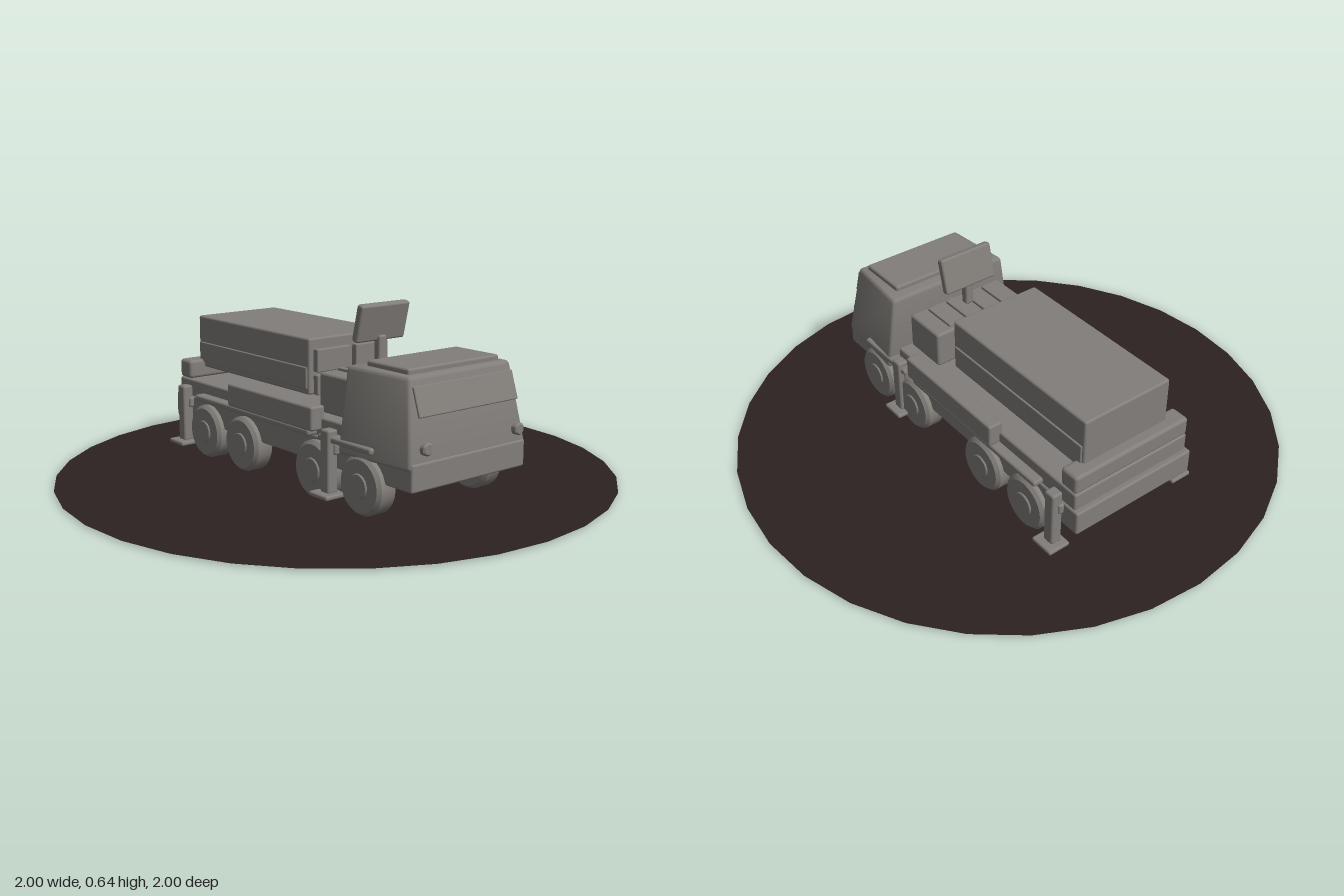
import * as THREE from 'three';
import { toCreasedNormals } from 'three/addons/utils/BufferGeometryUtils.js';
import { RoundedBoxGeometry } from 'three/addons/geometries/RoundedBoxGeometry.js';

export function createModel() {
  const truck = new THREE.Group();
  truck.name = 'launcherTruck';
  const grey = new THREE.MeshStandardMaterial({ color: 0x827e7a });
  grey.name = 'warm grey';
  const dark = new THREE.MeshStandardMaterial({ color: 0x2c2222, side: THREE.DoubleSide });
  dark.name = 'dark ground';

  const add = (name, geometry, material = grey) => {
    const mesh = new THREE.Mesh(geometry, material);
    mesh.name = name;
    truck.add(mesh);
    return mesh;
  };
  // Softly edged box given by its limits on each axis
  const box = (name, x0, x1, y0, y1, z0, z1, r = 0.008) => {
    const w = x1 - x0, h = y1 - y0, d = z1 - z0;
    const geo = new RoundedBoxGeometry(w, h, d, 2, Math.min(r, Math.min(w, h, d) * 0.4));
    const mesh = add(name, geo);
    mesh.position.set((x0 + x1) / 2, (y0 + y1) / 2, (z0 + z1) / 2);
    return mesh;
  };
  // The same box on both sides
  const pair = (name, x0, x1, y0, y1, z0, z1, r) => {
    box(name + 'Left', x0, x1, y0, y1, z0, z1, r);
    box(name + 'Right', x0, x1, y0, y1, -z1, -z0, r);
  };
  // Solid of revolution with rounded rims, lying along the x or z axis
  const drum = (name, axis, radius, length, x, y, z, bevel = 0.006, sides = 24) => {
    const h = length / 2;
    const profile = [[0, -h], [radius - bevel, -h], [radius, -h + bevel],
      [radius, h - bevel], [radius - bevel, h], [0, h]].map(p => new THREE.Vector2(...p));
    const geo = toCreasedNormals(new THREE.LatheGeometry(profile, sides), 0.6);
    if (axis === 'x') geo.rotateZ(-Math.PI / 2);
    else geo.rotateX(Math.PI / 2);
    const mesh = add(name, geo);
    mesh.position.set(x, y, z);
    return mesh;
  };

  // Ground disc
  const ground = add('groundDisc', new THREE.CircleGeometry(1, 32).rotateX(-Math.PI / 2), dark);
  ground.position.y = 0.005;

  // Chassis and deck
  box('chassis', -0.68, 0.675, 0.12, 0.212, -0.252, 0.252);
  box('deck', -0.66, 0.34, 0.205, 0.275, -0.245, 0.245);
  box('rearCrossBox', -0.66, -0.585, 0.275, 0.345, -0.245, 0.245, 0.012);
  pair('sideLocker', -0.27, 0.225, 0.232, 0.315, 0.23, 0.288);
  pair('rearFender', -0.5, 0.2, 0.212, 0.234, 0.235, 0.283);
  pair('frontFender', 0.25, 0.515, 0.212, 0.234, 0.235, 0.283);

  // Wheels with hubs on four axles
  for (const x of [-0.443, -0.205, 0.217, 0.457]) {
    for (const side of [-1, 1]) {
      drum('wheel', 'z', 0.1, 0.08, x, 0.1, side * 0.24, 0.012);
      drum('hub', 'z', 0.042, 0.012, x, 0.1, side * 0.28, 0.003, 20);
    }
  }

  // Outriggers
  for (const x of [-0.585, 0.297]) {
    pair('outriggerLeg', x - 0.022, x + 0.022, 0.04, 0.255, 0.25, 0.292);
    pair('outriggerFoot', x - 0.047, x + 0.047, 0.028, 0.044, 0.235, 0.32);
    pair('outriggerArm', x - 0.03, x + 0.03, 0.17, 0.21, 0.2, 0.27);
  }

  // Launch container with side ribs and front doors
  box('launchContainer', -0.62, 0.075, 0.315, 0.512, -0.18, 0.18);
  pair('containerRib', -0.61, 0.065, 0.335, 0.412, 0.175, 0.186, 0.004);
  for (const [y0, y1] of [[0.315, 0.385], [0.395, 0.475]]) {
    pair('containerDoor', 0.072, 0.098, y0, y1, 0.012, 0.16, 0.004);
  }

  // Generator with cooling bars and drums
  box('generator', 0.152, 0.325, 0.275, 0.412, -0.197, 0.197, 0.01);
  for (const z of [-0.12, -0.04, 0.04, 0.12]) {
    box('coolingBar', 0.17, 0.305, 0.405, 0.422, z - 0.011, z + 0.011, 0.004);
  }
  drum('generatorDrum', 'x', 0.046, 0.05, 0.132, 0.363, 0);
  drum('generatorPipe', 'x', 0.026, 0.04, 0.338, 0.365, 0);

  // Radar mast and tilted panel
  box('radarMast', 0.222, 0.254, 0.432, 0.53, -0.017, 0.017);
  const radar = box('radarPanel', 0.225, 0.255, 0.51, 0.642, -0.107, 0.107);
  radar.position.x = 0.241;
  radar.rotation.z = -0.24;

  // Cab: a box narrowed upward and toward the front
  const cabGeo = new RoundedBoxGeometry(0.32, 0.285, 0.57, 2, 0.014);
  const p = cabGeo.attributes.position;
  for (let i = 0; i < p.count; i++) {
    const u = p.getX(i) / 0.32 + 0.5, v = p.getY(i) / 0.285 + 0.5;
    p.setXYZ(i, 0.355 + u * (0.32 - 0.052 * v), 0.187 + v * 0.285,
      p.getZ(i) * (1 - 0.14 * v) * (1 - 0.09 * u));
  }
  add('cab', toCreasedNormals(cabGeo, 0.5));
  box('roofHatch', 0.4, 0.597, 0.462, 0.49, -0.2, 0.2);
  const windshield = box('windshield', 0.645, 0.655, 0.348, 0.446, -0.218, 0.218, 0.004);
  windshield.rotation.z = 0.32;
  for (const z of [-0.203, 0.203]) {
    drum('headlight', 'x', 0.021, 0.025, 0.684, 0.257, z, 0.005, 18);
  }

  return truck;
}
